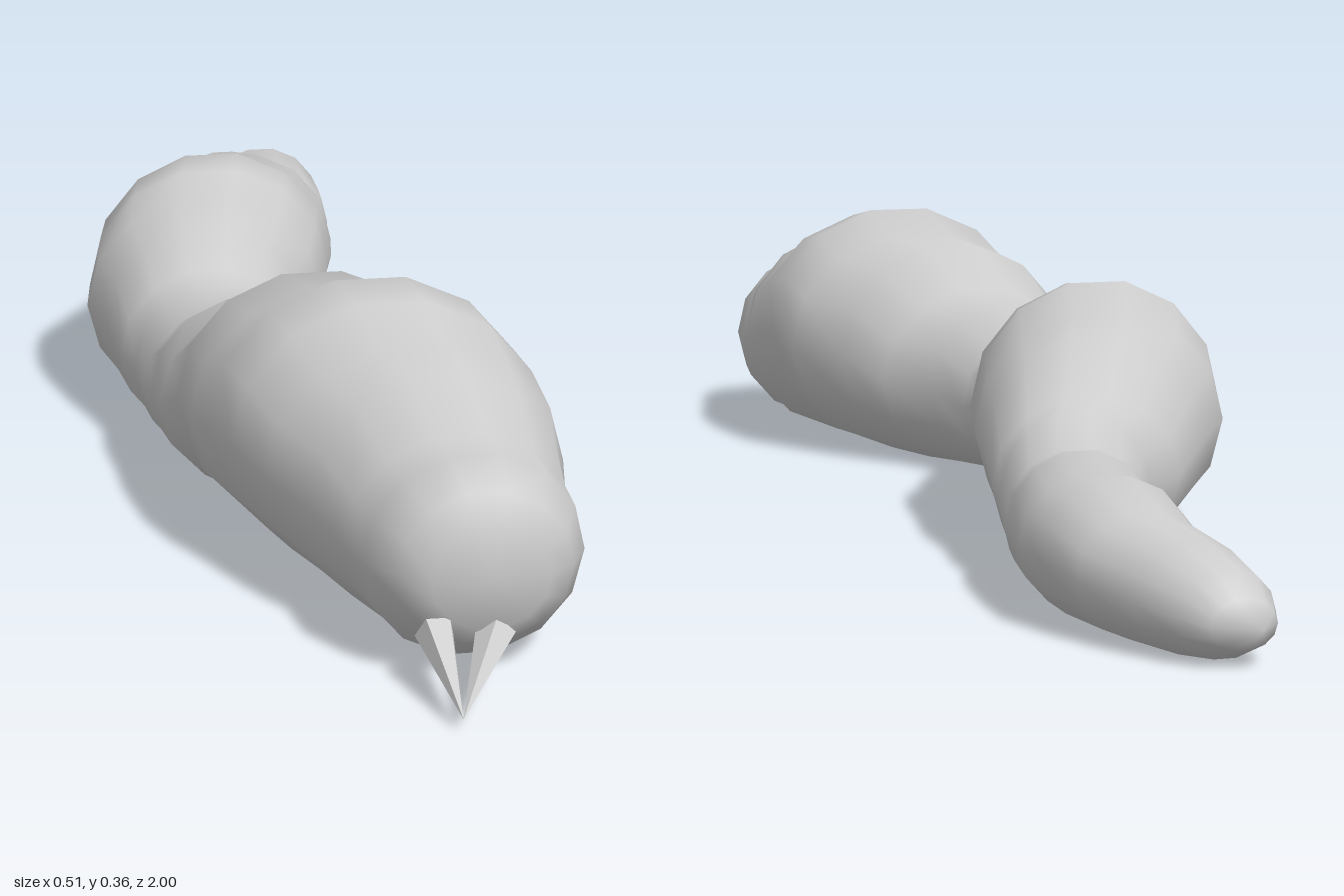
import * as THREE from 'three';

const SIDES = 14; // a vertex at each side, flat facets on top and bottom

// Body stations from head to tail: z, right edge x, left edge x, top y
const STATIONS = [
  [0.89, 0.03, 0.17, 0.2], [0.87, -0.005, 0.2, 0.23], [0.82, -0.035, 0.225, 0.255],
  [0.75, -0.045, 0.232, 0.252], [0.69, -0.08, 0.235, 0.303], [0.61, -0.115, 0.253, 0.311],
  [0.55, -0.145, 0.245, 0.348], [0.49, -0.165, 0.235, 0.361], [0.42, -0.18, 0.22, 0.328],
  [0.33, -0.183, 0.165, 0.319], [0.275, -0.2, 0.115, 0.26], [0.21, -0.203, 0.06, 0.248],
  [0.15, -0.206, 0.028, 0.212], [0.1, -0.212, 0.018, 0.23], [0.05, -0.225, 0.02, 0.235],
  [0, -0.238, 0.04, 0.286], [-0.09, -0.257, 0.077, 0.291], [-0.14, -0.248, 0.095, 0.32],
  [-0.2, -0.235, 0.108, 0.328], [-0.26, -0.22, 0.123, 0.291], [-0.36, -0.16, 0.14, 0.28],
  [-0.43, -0.1, 0.148, 0.213], [-0.49, -0.04, 0.157, 0.205], [-0.53, -0.02, 0.163, 0.166],
  [-0.6, -0.006, 0.178, 0.179], [-0.68, 0, 0.187, 0.166], [-0.75, 0, 0.186, 0.175],
  [-0.82, -0.003, 0.162, 0.146], [-0.9, -0.02, 0.123, 0.13], [-0.95, -0.027, 0.09, 0.108],
  [-0.98, -0.018, 0.06, 0.08],
];

// Height of the belly: flat on the ground, lifting at both ends
function bellyHeight(z) {
  if (z > 0.8) return 0.008 + 0.065 * Math.pow((z - 0.8) / 0.09, 2);
  if (z < -0.94) return 0.003 + 0.02 * (-0.94 - z) / 0.04;
  return 0.003;
}

// Closed loft through the stations, with a centre point at each end
function makeBody() {
  const positions = [], index = [];
  const topSine = Math.sin(Math.PI / 2 - Math.PI / SIDES);
  for (const [z, x0, x1, top] of STATIONS) {
    const bottom = bellyHeight(z);
    for (let j = 0; j < SIDES; j++) {
      const a = (j / SIDES) * Math.PI * 2;
      positions.push(
        (x0 + x1) / 2 + Math.cos(a) * (x1 - x0) / 2,
        (top + bottom) / 2 + (Math.sin(a) / topSine) * (top - bottom) / 2,
        z);
    }
  }
  const last = (STATIONS.length - 1) * SIDES;
  const head = positions.length / 3, tail = head + 1;
  positions.push(0.1, 0.135, 0.9, 0.005, 0.05, -1);

  for (let j = 0; j < SIDES; j++) {
    const k = (j + 1) % SIDES;
    for (let i = 0; i < last; i += SIDES) {
      index.push(i + j, i + SIDES + j, i + k);
      index.push(i + k, i + SIDES + j, i + SIDES + k);
    }
    index.push(head, j, k, tail, last + k, last + j);
  }
  const geometry = new THREE.BufferGeometry();
  geometry.setAttribute('position', new THREE.Float32BufferAttribute(positions, 3));
  geometry.setIndex(index);
  geometry.computeVertexNormals();
  return geometry;
}

// Faceted fang running from a base inside the head to the shared tip
function makeFang(base, tip, radius) {
  const axis = tip.clone().sub(base);
  const geometry = new THREE.ConeGeometry(radius, axis.length(), 5);
  geometry.translate(0, axis.length() / 2, 0);
  geometry.applyQuaternion(new THREE.Quaternion().setFromUnitVectors(
    new THREE.Vector3(0, 1, 0), axis.normalize()));
  geometry.translate(base.x, base.y, base.z);
  return geometry;
}

export function createModel() {
  const model = new THREE.Group();
  model.name = 'caterpillar';

  const body = new THREE.Mesh(makeBody(), new THREE.MeshStandardMaterial({ color: 0xcccccc }));
  body.name = 'body';
  model.add(body);

  // Pair of fangs meeting below the face
  const fangMaterial = new THREE.MeshStandardMaterial({ color: 0xcccccc, flatShading: true });
  const tip = new THREE.Vector3(0.045, 0.02, 1);
  for (const [name, x, y] of [['rightFang', 0.038, 0.072], ['leftFang', 0.108, 0.065]]) {
    const fang = new THREE.Mesh(makeFang(new THREE.Vector3(x, y, 0.88), tip, 0.024), fangMaterial);
    fang.name = name;
    model.add(fang);
  }
  return model;
}
